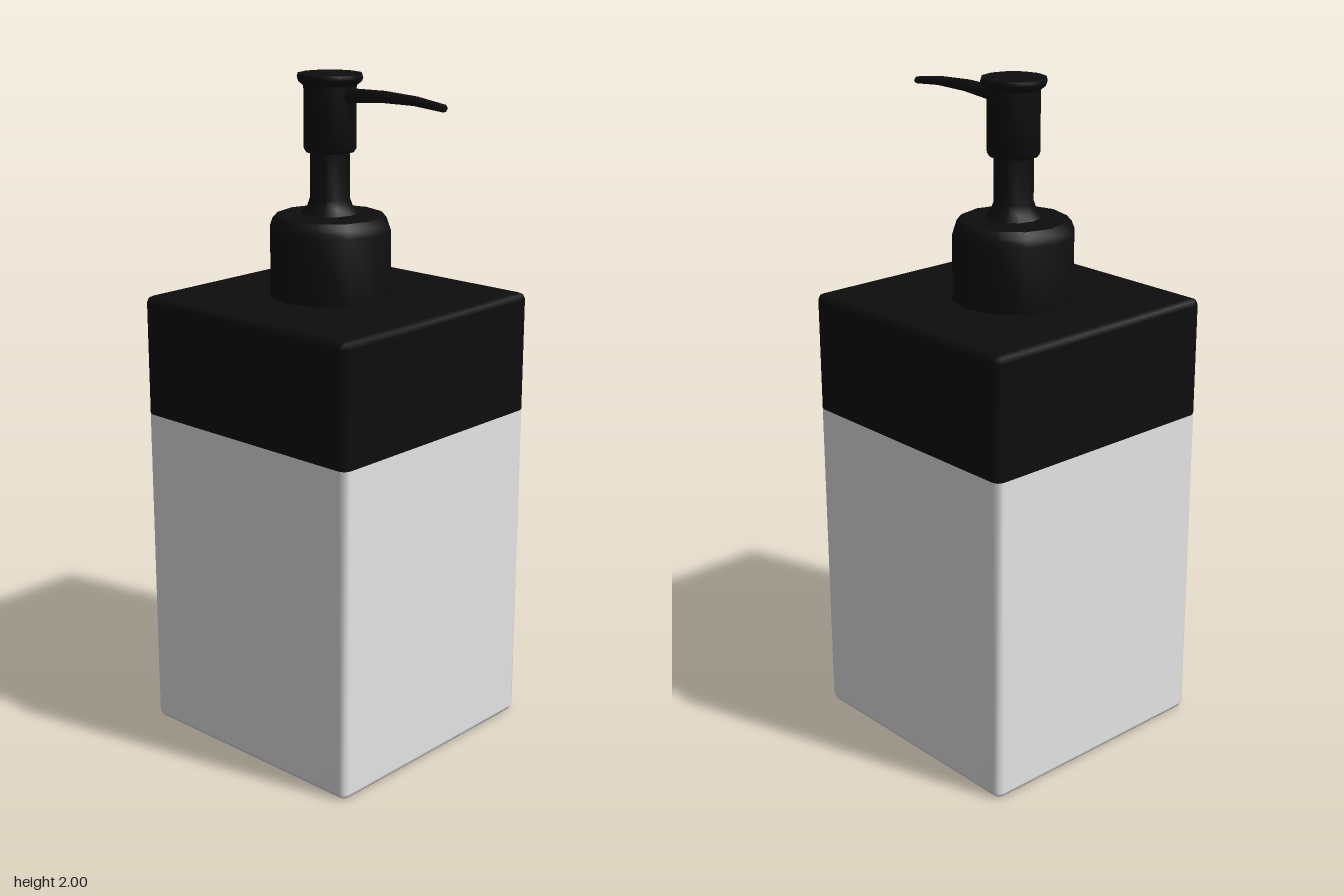
import * as THREE from 'three';
import { toCreasedNormals } from 'three/addons/utils/BufferGeometryUtils.js';

const white = new THREE.MeshStandardMaterial({ color: 0xe6e6e6 });
white.name = 'white bottle';
const black = new THREE.MeshStandardMaterial({ color: 0x0d0d0d });
black.name = 'black plastic';

// Skin a stack of closed rings; optional flat caps at either end
function loft(rings, capStart, capEnd) {
  const n = rings[0].length;
  const pos = rings.flat(2);
  const index = [];
  for (let i = 0; i < rings.length - 1; i++) {
    for (let j = 0; j < n; j++) {
      const k = (j + 1) % n;
      const a = i * n + j, b = i * n + k, c = a + n, d = b + n;
      index.push(a, c, b, b, c, d);
    }
  }
  const cap = (ring, start, flip) => {
    const centre = pos.length / 3;
    pos.push(...[0, 1, 2].map(ax => ring.reduce((s, p) => s + p[ax], 0) / n));
    for (let j = 0; j < n; j++) {
      const a = start + j, b = start + (j + 1) % n;
      index.push(centre, flip ? b : a, flip ? a : b);
    }
  };
  if (capStart) cap(rings[0], 0, false);
  if (capEnd) cap(rings[rings.length - 1], (rings.length - 1) * n, true);
  const g = new THREE.BufferGeometry();
  g.setAttribute('position', new THREE.Float32BufferAttribute(pos, 3));
  g.setIndex(index);
  g.computeVertexNormals();
  return g;
}

// Square ring with rounded corners at height y, pulled in by inset
function squareRing(y, inset) {
  const half = 0.4 - inset, r = Math.max(0.022 - inset, 0.003);
  const ring = [];
  for (let c = 0; c < 4; c++) {
    const mid = Math.PI / 4 + c * Math.PI / 2;
    for (let s = -1; s <= 1; s++) {
      const a = mid + s * Math.PI / 4;
      ring.push([
        Math.sign(Math.cos(mid)) * (half - r) + r * Math.cos(a), y,
        Math.sign(Math.sin(mid)) * (half - r) + r * Math.sin(a),
      ]);
    }
  }
  return ring;
}

// Six-sided spout section
function spoutRing(z, y, rx, ry) {
  return Array.from({ length: 6 }, (_, j) => {
    const a = -j * Math.PI / 3;
    return [rx * Math.cos(a), y + ry * Math.sin(a), z];
  });
}

export function createModel() {
  const model = new THREE.Group();
  model.name = 'soapDispenser';
  const add = (parent, name, geometry, material) => {
    const mesh = new THREE.Mesh(geometry, material);
    mesh.name = name;
    parent.add(mesh);
  };

  // Square bottle and its dark shoulder
  const bottle = [[0, 0.02], [0.006, 0.006], [0.02, 0], [1, 0]];
  add(model, 'bottle', loft(bottle.map(p => squareRing(...p)), true, false), white);
  const shoulder = [[1, 0], [1.34, 0], [1.354, 0.006], [1.36, 0.02]];
  add(model, 'shoulder', loft(shoulder.map(p => squareRing(...p)), false, true), black);

  // Pump, set slightly off centre
  const pump = new THREE.Group();
  pump.name = 'pump';
  pump.position.set(-0.006, 0, -0.021);
  model.add(pump);
  const turned = (name, profile) => {
    const points = profile.map(p => new THREE.Vector2(...p));
    add(pump, name, toCreasedNormals(new THREE.LatheGeometry(points, 12), 0.7), black);
  };
  turned('collar', [[0.181, 1.355], [0.181, 1.555], [0.173, 1.578], [0.158, 1.595], [0.08, 1.602], [0, 1.602]]);
  turned('stem', [[0.085, 1.6], [0.068, 1.62], [0.059, 1.645], [0.059, 1.79]]);
  turned('pumpHead', [
    [0.05, 1.778], [0.07, 1.778], [0.078, 1.79], [0.078, 1.968],
    [0.093, 1.98], [0.097, 1.99], [0.094, 2], [0, 2],
  ]);

  // Tapered spout with a drooping tip
  const spout = [
    [0.05, 1.941, 0.021, 0.024], [0.2, 1.95, 0.019, 0.018],
    [0.32, 1.948, 0.016, 0.014], [0.421, 1.937, 0.014, 0.011],
  ];
  add(pump, 'spout', loft(spout.map(p => spoutRing(...p)), true, true), black);

  return model;
}
